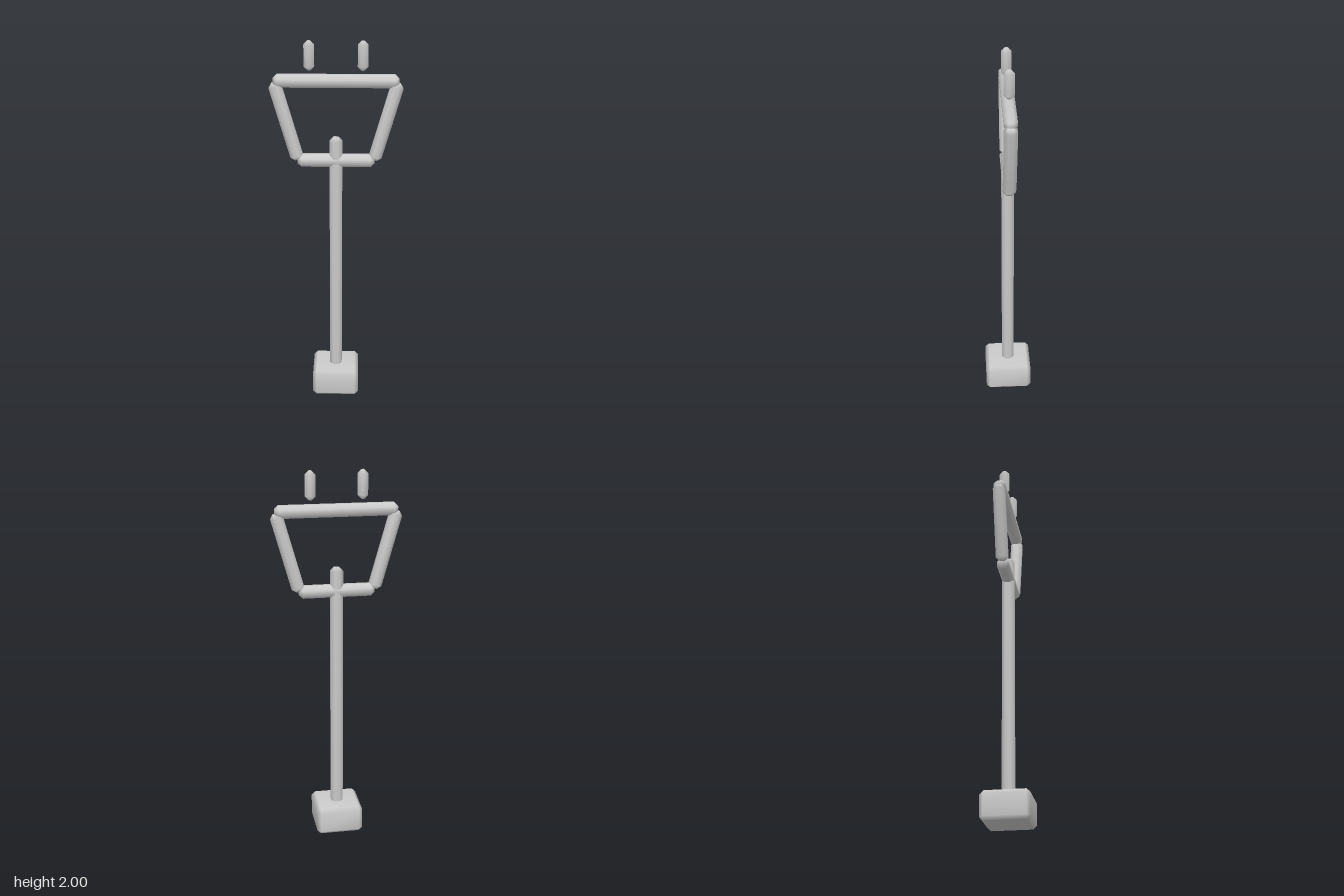
import * as THREE from 'three';
import { ConvexGeometry } from 'three/addons/geometries/ConvexGeometry.js';
import { mergeVertices } from 'three/addons/utils/BufferGeometryUtils.js';

const BEVEL = 0.02;
const material = new THREE.MeshStandardMaterial({ color: 0xcccccc });

// Box with one flat bevel on every edge and smooth normals
function bevelledBox(w, h, d) {
  const points = [];
  for (const sx of [-1, 1]) for (const sy of [-1, 1]) for (const sz of [-1, 1]) {
    for (let axis = 0; axis < 3; axis++) {
      // Each corner becomes three points, one on each adjoining face
      const p = [w / 2, h / 2, d / 2].map((half, i) => (i === axis ? half : half - BEVEL));
      points.push(new THREE.Vector3(p[0] * sx, p[1] * sy, p[2] * sz));
    }
  }
  let geometry = new ConvexGeometry(points);
  geometry.deleteAttribute('normal');
  geometry = mergeVertices(geometry, 1e-5);
  geometry.computeVertexNormals();
  return geometry;
}

export function createModel() {
  const group = new THREE.Group();
  const add = (name, size, position, tilt = 0) => {
    const mesh = new THREE.Mesh(bevelledBox(...size), material);
    mesh.name = name;
    mesh.position.set(...position);
    mesh.rotation.z = tilt;
    group.add(mesh);
  };

  // Base block and post
  add('base', [0.254, 0.152, 0.254], [0, 0.076, 0]);
  add('post', [0.066, 1.4, 0.066], [0, 0.8, 0]);

  // Trapezoid frame
  add('lowerBar', [0.4, 0.066, 0.066], [0, 1.374, 0]);
  add('upperBar', [0.636, 0.066, 0.066], [0, 1.796, 0]);

  // Mirrored frame sides and the floating prongs above them
  for (const [side, s] of [['left', 1], ['right', -1]]) {
    add(`${side}FrameBar`, [0.066, 0.424, 0.066], [s * 0.256, 1.583, 0], -s * 0.273);
    add(`${side}Prong`, [0.053, 0.15, 0.053], [s * 0.135, 1.925, 0]);
  }
  return group;
}
